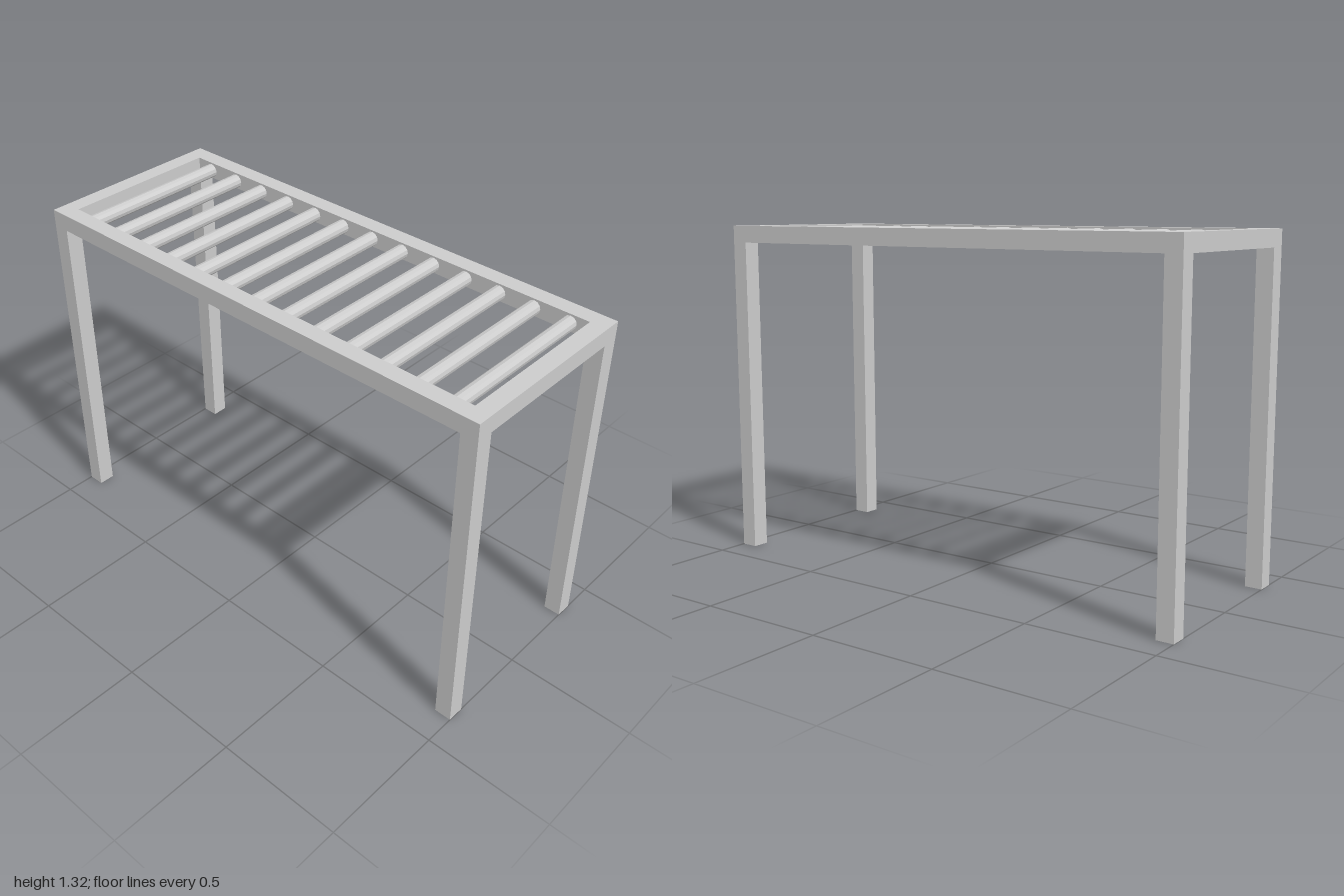
import * as THREE from 'three';

const HX = 1, HZ = 0.38, TOP = 1.315, T = 0.066; // half length, half depth, height, beam thickness
const BARS = 13, SPACING = 0.1435, BAR_R = 0.027;

export function createModel() {
  const model = new THREE.Group();
  model.name = 'monkeyBars';
  const mat = new THREE.MeshStandardMaterial({ color: 0xcccccc, flatShading: true });

  const add = (name, geometry, x, y, z) => {
    const mesh = new THREE.Mesh(geometry, mat);
    mesh.name = name;
    mesh.position.set(x, y, z);
    model.add(mesh);
    return mesh;
  };

  // Rectangular top frame, a ring extruded upwards
  const rect = (target, w, h) =>
    target.moveTo(-w, -h).lineTo(w, -h).lineTo(w, h).lineTo(-w, h).closePath();
  const ring = rect(new THREE.Shape(), HX, HZ);
  ring.holes.push(rect(new THREE.Path(), HX - T, HZ - T));
  const frame = new THREE.ExtrudeGeometry(ring, { depth: T, bevelEnabled: false });
  frame.rotateX(-Math.PI / 2);
  add('topFrame', frame, 0, TOP - T, 0);

  // Four square legs
  const legH = TOP - T;
  const leg = new THREE.BoxGeometry(T, legH, T);
  for (const [side, sx] of [['Left', 1], ['Right', -1]])
    for (const [end, sz] of [['front', 1], ['back', -1]])
      add(`${end}${side}Leg`, leg, sx * (HX - T / 2), legH / 2, sz * (HZ - T / 2));

  // Round rungs between the long beams
  const rung = new THREE.CylinderGeometry(BAR_R, BAR_R, 2 * (HZ - T) + 0.02, 12);
  rung.rotateX(Math.PI / 2);
  for (let i = 0; i < BARS; i++)
    add(`rung${i + 1}`, rung, (i - (BARS - 1) / 2) * SPACING, TOP - T / 2, 0);

  return model;
}
